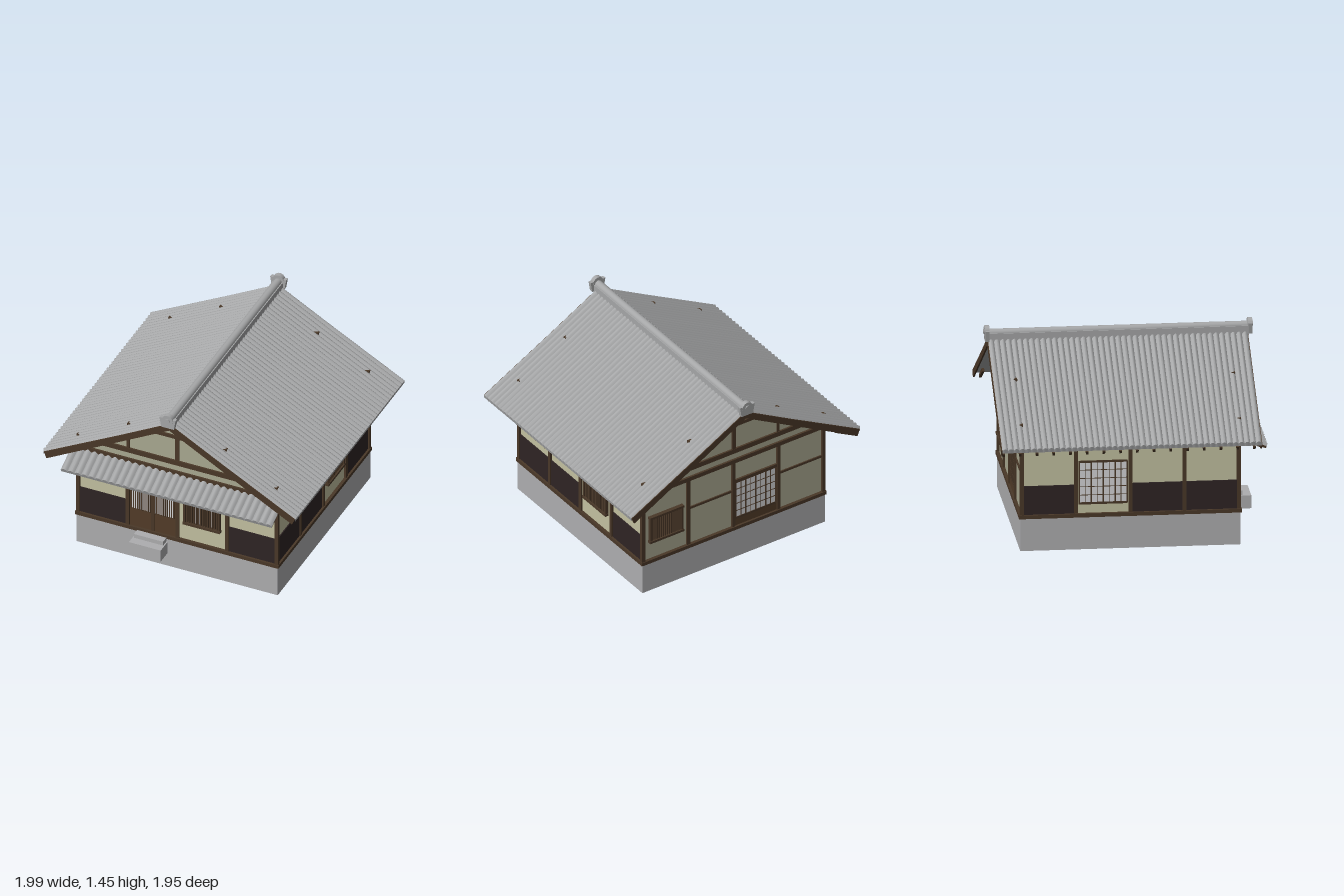
import * as THREE from 'three';
import { toCreasedNormals } from 'three/addons/utils/BufferGeometryUtils.js';

const mat = (name, color) => {
  const m = new THREE.MeshStandardMaterial({ color });
  m.name = name;
  return m;
};
const timber = mat('timber', 0x4a3828);
const doorWood = mat('door wood', 0x523c28);
const wainscot = mat('dark wainscot', 0x2e2424);
const plaster = mat('plaster', 0xc3c1a1);
const oldPlaster = mat('grey plaster', 0xaaa991);
const stone = mat('stone', 0xaeaeb0);
const tile = mat('roof tile', 0xa6a7a8);
const paper = mat('paper', 0xd6d6d8);
tile.side = THREE.DoubleSide;

const add = (parent, name, geo, material) => {
  const m = new THREE.Mesh(geo, material);
  m.name = name;
  parent.add(m);
  return m;
};

// Box given by its min and max on each axis
const box = (parent, name, material, x0, x1, y0, y1, z0, z1) => {
  const m = add(parent, name, new THREE.BoxGeometry(x1 - x0, y1 - y0, z1 - z0), material);
  m.position.set((x0 + x1) / 2, (y0 + y1) / 2, (z0 + z1) / 2);
  return m;
};

const extrude = (points, depth) => new THREE.ExtrudeGeometry(
  new THREE.Shape(points.map(([x, y]) => new THREE.Vector2(x, y))), { depth, bevelEnabled: false });

// Rows of round tiles: path of [x, y, bump] repeated along z with half-round ribs
function ribbed(path, z0, z1, count, amp, nx, ny) {
  const steps = count * 6, pos = [], idx = [], n = path.length;
  for (let i = 0; i <= steps; i++) {
    const b = amp * Math.abs(Math.sin((i / 6) * Math.PI));
    for (const [x, y, k] of path) pos.push(x + nx * b * k, y + ny * b * k, z0 + (z1 - z0) * i / steps);
  }
  for (let i = 0; i < steps; i++) {
    for (let j = 0; j < n - 1; j++) {
      const a = i * n + j, b = a + n;
      idx.push(a, b, a + 1, b, b + 1, a + 1);
    }
  }
  const g = new THREE.BufferGeometry();
  g.setAttribute('position', new THREE.Float32BufferAttribute(pos, 3));
  g.setIndex(idx);
  return toCreasedNormals(g, 0.7);
}

// Wall pieces below use a local frame: x along the wall, z outward, 0 at the wall face
function barredWindow(wall, u) {
  const g = new THREE.Group();
  g.name = 'barredWindow';
  wall.add(g);
  box(g, 'windowPaper', paper, u - 0.135, u + 0.135, 0.43, 0.62, 0, 0.005);
  for (const y of [0.42, 0.625]) box(g, 'windowRail', timber, u - 0.147, u + 0.147, y - 0.009, y + 0.009, 0, 0.03);
  for (const s of [-1, 1]) box(g, 'windowStile', timber, u + s * 0.135 - 0.008, u + s * 0.135 + 0.008, 0.42, 0.625, 0, 0.025);
  for (let i = 1; i < 15; i++) {
    const x = u - 0.135 + i * 0.018;
    box(g, 'windowBar', timber, x - 0.005, x + 0.005, 0.42, 0.625, 0.005, 0.02);
  }
}

function paperScreen(wall, u, y0, y1) {
  const g = new THREE.Group();
  g.name = 'paperScreen';
  wall.add(g);
  box(g, 'screenPaper', paper, u - 0.175, u + 0.175, y0, y1, 0, 0.005);
  for (let i = 0; i <= 8; i++) {
    const x = u - 0.172 + i * 0.043, w = i % 2 ? 0.002 : 0.005;
    box(g, 'screenBar', timber, x - w, x + w, y0, y1, 0.004, 0.01);
  }
  for (let i = 0; i <= 5; i++) {
    const y = y0 + (y1 - y0) * i / 5, w = i % 5 ? 0.002 : 0.008;
    box(g, 'screenRail', timber, u - 0.175, u + 0.175, y - w, y + w, 0.004, 0.009);
  }
}

function slidingDoor(wall, u) {
  const g = new THREE.Group();
  g.name = 'slidingDoor';
  wall.add(g);
  box(g, 'doorPanel', doorWood, u - 0.18, u + 0.18, 0.26, 0.63, 0, 0.006);
  box(g, 'doorHeader', timber, u - 0.18, u + 0.18, 0.62, 0.65, 0, 0.018);
  box(g, 'doorMeeting', timber, u - 0.012, u + 0.012, 0.26, 0.62, 0, 0.012);
  for (const s of [-1, 1]) {
    const c = u + s * 0.092;
    box(g, 'doorPaper', paper, c - 0.077, c + 0.077, 0.425, 0.615, 0.004, 0.009);
    for (let i = 0; i < 10; i++) {
      const x = c - 0.074 + i * 0.0164;
      box(g, 'doorBar', timber, x - 0.004, x + 0.004, 0.42, 0.62, 0.008, 0.014);
    }
  }
}

function makeWall(house, name, angle, x, z, material, bays) {
  const wall = new THREE.Group();
  wall.name = name;
  wall.position.set(x, 0, z);
  wall.rotation.y = angle;
  house.add(wall);
  box(wall, 'wallPanel', material, -0.775, 0.775, 0.25, 0.87, -0.012, 0);
  box(wall, 'sillBeam', timber, -0.795, 0.795, 0.24, 0.267, -0.01, 0.024);
  for (let i = -2; i <= 2; i++) {
    const c = i * 0.39, w = 0.0135;
    box(wall, 'post', timber, c - w, c + w, 0.25, 0.84, -0.01, 0.016);
  }
  bays.forEach((kind, i) => {
    const u = -0.585 + i * 0.39;
    if (kind === 'wainscot') box(wall, 'wainscot', wainscot, u - 0.18, u + 0.18, 0.265, 0.48, 0, 0.008);
    if (kind === 'window') barredWindow(wall, u);
    if (kind === 'door') slidingDoor(wall, u);
    if (kind === 'rail') box(wall, 'midRail', timber, u - 0.18, u + 0.18, 0.565, 0.583, 0, 0.01);
    if (kind === 'lowScreen') paperScreen(wall, u, 0.34, 0.65);
    if (kind === 'screen') {
      paperScreen(wall, u, 0.33, 0.64);
      box(wall, 'kickBoard', doorWood, u - 0.18, u + 0.18, 0.265, 0.33, 0, 0.008);
      box(wall, 'screenHeader', timber, u - 0.18, u + 0.18, 0.64, 0.665, 0, 0.015);
    }
  });
  return wall;
}

// Plaster gable with its timber frame
function makeGable(wall) {
  const g = new THREE.Group();
  g.name = 'gable';
  wall.add(g);
  add(g, 'gablePanel', extrude([[-0.78, 0.83], [0.78, 0.83], [0.78, 0.895], [0.39, 1.11], [0, 1.33], [-0.39, 1.11], [-0.78, 0.895]], 0.006), oldPlaster);
  box(g, 'lowerBeam', timber, -0.805, 0.805, 0.82, 0.853, -0.01, 0.022);
  box(g, 'middleBeam', timber, -0.79, 0.79, 0.906, 0.944, -0.006, 0.02);
  box(g, 'upperBeam', timber, -0.39, 0.39, 1.136, 1.162, -0.006, 0.02);
  box(g, 'kingPost', timber, -0.015, 0.015, 0.94, 1.335, 0, 0.018);
  for (const s of [-1, 1]) box(g, 'gablePost', timber, s * 0.385 - 0.011, s * 0.385 + 0.011, 0.94, 1.14, 0, 0.016);
}

function makeRoof(house) {
  const roof = new THREE.Group();
  roof.name = 'roof';
  house.add(roof);
  const z0 = -0.95, z1 = 0.912;
  const band = (t) => [[0, 1.355], [0.39, 1.138], [0.985, 0.815], [0.985 - t * 0.4, 0.815 - t], [0.39, 1.138 - t * 1.1], [0, 1.355 - t * 1.1]];
  for (const s of [1, -1]) {
    const half = new THREE.Group();
    half.name = s > 0 ? 'leftSlope' : 'rightSlope';
    half.rotation.y = s > 0 ? 0 : Math.PI;
    roof.add(half);
    // The turned half swaps its z limits
    const a = s > 0 ? z0 : -z1, b = s > 0 ? z1 : -z0;
    add(half, 'roofDeck', extrude(band(0.02), b - a - 0.01), tile).position.z = a + 0.005;
    add(half, 'tileRows', ribbed([[0.01, 1.352, 1], [0.39, 1.141, 1], [0.99, 0.815, 1], [0.988, 0.795, 0]], a, b, 45, 0.015, 0.48, 0.87), tile);
    for (const z of [a - 0.004, b - 0.008]) add(half, 'bargeBoard', extrude(band(0.05), 0.012), timber).position.z = z;
    for (let z = a + 0.05; z < b; z += 0.12) {
      const r = box(half, 'rafter', timber, 0.77, 0.98, 0.81, 0.835, z - 0.009, z + 0.009);
      r.rotation.z = -0.497;
    }
  }
  // Ridge with a round cap and end ornaments
  box(roof, 'ridge', tile, -0.037, 0.037, 1.33, 1.395, -0.95, 0.92);
  const cap = add(roof, 'ridgeCap', new THREE.CylinderGeometry(0.03, 0.03, 1.87, 16), tile);
  cap.rotation.x = Math.PI / 2;
  cap.position.set(0, 1.392, -0.015);
  for (const z of [-0.957, 0.93]) {
    add(roof, 'ridgeEnd', extrude([[-0.05, 1.34], [0.05, 1.34], [0.063, 1.42], [-0.063, 1.42]], 0.03), tile).position.z = z - 0.015;
    const disc = add(roof, 'ridgeEndDisc', new THREE.CylinderGeometry(0.043, 0.043, 0.034, 20), tile);
    disc.rotation.x = Math.PI / 2;
    disc.position.set(0, 1.405, z);
    const boss = add(roof, 'ridgeEndBoss', new THREE.CylinderGeometry(0.018, 0.018, 0.048, 12), tile);
    boss.rotation.x = Math.PI / 2;
    boss.position.set(0, 1.405, z);
  }
}

// Small tiled roof over the entrance side
function makeAwning(house) {
  const awning = new THREE.Group();
  awning.name = 'awning';
  awning.rotation.y = -Math.PI / 2; // local x points to the front
  house.add(awning);
  add(awning, 'awningTiles', ribbed([[0.775, 0.822, 1], [0.965, 0.738, 1], [0.96, 0.722, 0]], -0.83, 0.83, 31, 0.019, 0.4, 0.91), tile);
  add(awning, 'awningBoard', extrude([[0.775, 0.82], [0.962, 0.737], [0.957, 0.722], [0.775, 0.8]], 1.65), timber).position.z = -0.825;
  for (let i = 0; i < 14; i++) {
    const z = -0.75 + i * 1.5 / 13;
    box(awning, 'awningRafter', timber, 0.77, 0.95, 0.74, 0.762, z - 0.008, z + 0.008).rotation.z = -0.416;
  }
}

export function createModel() {
  const house = new THREE.Group();
  house.name = 'house';

  // Hollow stone base with a floor on top
  for (const s of [-1, 1]) {
    box(house, 'baseSide', stone, s * 0.785 - 0.005, s * 0.785 + 0.005, 0, 0.25, -0.8, 0.78);
    box(house, 'baseEnd', stone, -0.785, 0.785, 0, 0.25, s * 0.785 - 0.015, s * 0.785 - 0.005);
  }
  box(house, 'floor', stone, -0.785, 0.785, 0.238, 0.25, -0.795, 0.775);

  // Entrance steps
  box(house, 'lowerStep', stone, -0.32, -0.07, 0.12, 0.217, 0.79, 0.908);
  box(house, 'upperStep', stone, -0.31, -0.08, 0.217, 0.25, 0.79, 0.845);

  const front = makeWall(house, 'frontWall', 0, 0, 0.765, plaster, ['wainscot', 'door', 'window', 'wainscot']);
  const back = makeWall(house, 'backWall', Math.PI, 0, -0.785, oldPlaster, ['window', 'rail', 'screen', 'rail']);
  makeWall(house, 'leftWall', Math.PI / 2, 0.775, -0.01, plaster, ['wainscot', 'wainscot', 'window', 'wainscot']);
  makeWall(house, 'rightWall', -Math.PI / 2, -0.775, -0.01, plaster, ['wainscot', 'lowScreen', 'wainscot', 'wainscot']);
  makeGable(front);
  makeGable(back);
  makeRoof(house);
  makeAwning(house);
  return house;
}
